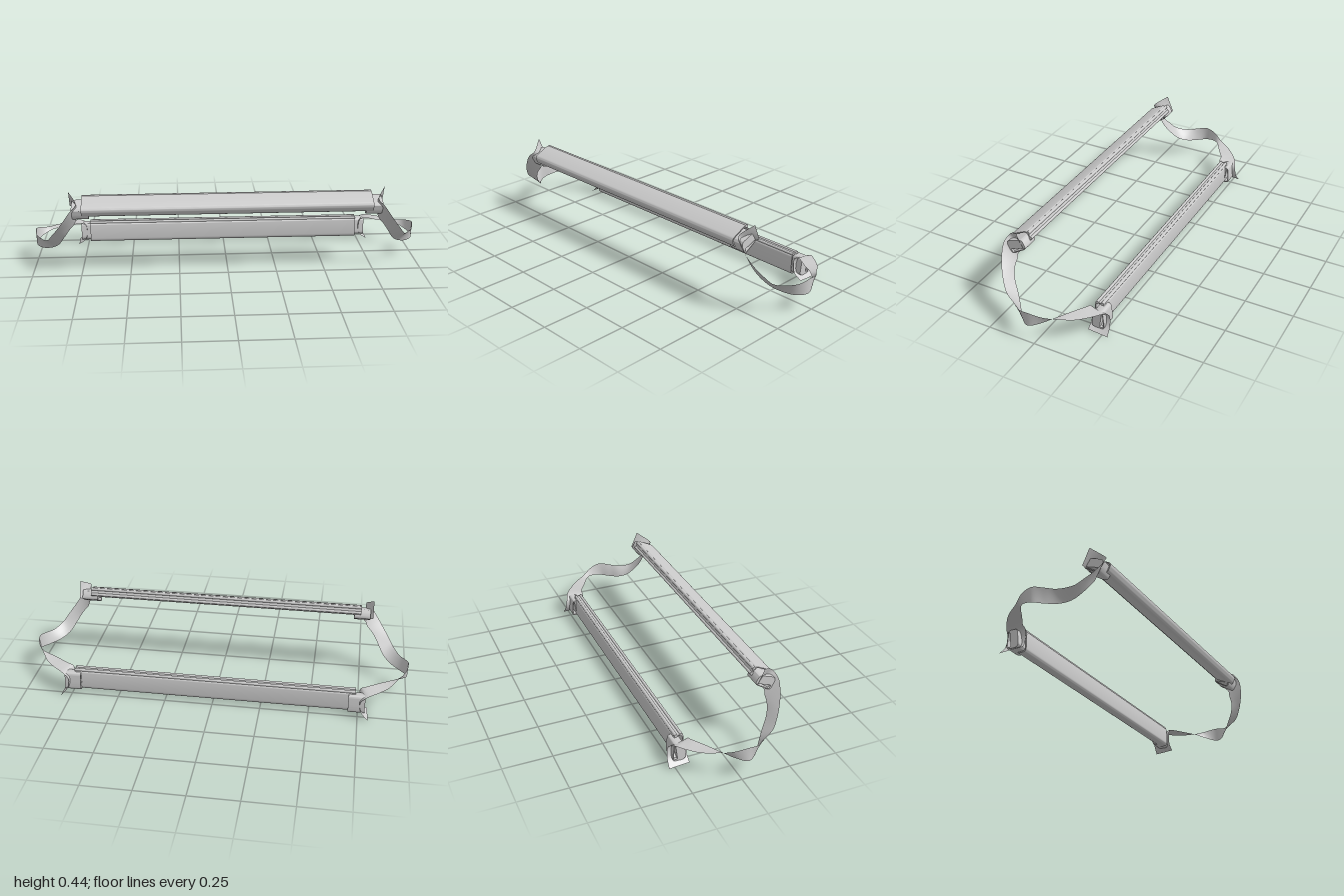
import * as THREE from 'three';
import { toCreasedNormals } from 'three/addons/utils/BufferGeometryUtils.js';

const material = new THREE.MeshStandardMaterial({ color: 0xcccccc, side: THREE.DoubleSide });

function mesh(name, geometry) {
  const m = new THREE.Mesh(geometry, material);
  m.name = name;
  return m;
}

// Polygon with rounded corners; traces into a Shape or a Path
function rounded(path, points, radius) {
  const p = points.map(([x, y]) => new THREE.Vector2(x, y));
  const n = p.length;
  p.forEach((c, i) => {
    const toward = (q) => {
      const d = q.clone().sub(c);
      return c.clone().add(d.setLength(Math.min(radius, d.length() * 0.48)));
    };
    const a = toward(p[(i + n - 1) % n]);
    const b = toward(p[(i + 1) % n]);
    if (i === 0) path.moveTo(a.x, a.y);
    else path.lineTo(a.x, a.y);
    path.quadraticCurveTo(c.x, c.y, b.x, b.y);
  });
  path.closePath();
  return path;
}

// Hollow section drawn as [-z, y], extruded along x from x0 to x1
function hollow(outer, r, inner, ri, x0, x1) {
  const shape = rounded(new THREE.Shape(), outer, r);
  shape.holes.push(rounded(new THREE.Path(), inner, ri));
  const g = new THREE.ExtrudeGeometry(shape, { depth: x1 - x0, bevelEnabled: false, curveSegments: 6 });
  g.translate(0, 0, x0);
  g.rotateY(Math.PI / 2);
  return toCreasedNormals(g, 0.7);
}

// Long hollow bar with a rolled seam on top and a loop at each end
function createBar(name) {
  const bar = new THREE.Group();
  bar.name = name;
  bar.add(mesh('barShell', hollow(
    [[-0.028, -0.06], [0.028, -0.06], [0.026, 0.052], [-0.026, 0.052]], 0.022,
    [[-0.023, -0.054], [0.023, -0.054], [0.021, 0.046], [-0.021, 0.046]], 0.018,
    -0.735, 0.735)));
  // Seam lips
  for (const z of [-0.014, 0.014]) {
    const lip = mesh('seamLip', new THREE.CylinderGeometry(0.008, 0.008, 1.47, 10));
    lip.rotation.z = Math.PI / 2;
    lip.position.set(0, 0.05, z);
    bar.add(lip);
  }
  // End loops that hold the straps
  const loopGeometry = hollow(
    [[-0.006, 0.042], [-0.018, -0.042], [-0.004, -0.055], [0.05, -0.053], [0.05, -0.02], [0.043, 0.042]], 0.014,
    [[0.037, 0.036], [0.041, 0.036], [0.046, -0.045], [0.026, -0.045]], 0.004,
    0.7, 0.785);
  for (const side of [1, -1]) {
    const loop = mesh('endLoop', loopGeometry);
    loop.scale.x = side;
    bar.add(loop);
  }
  return bar;
}

// Matching points of the strap's outer and inner edge, from front flap to back flap
const strapEdges = [
  [[0.80, 0.44, 0.20], [0.80, 0.355, 0.163]],
  [[0.76, 0.392, 0.265], [0.755, 0.33, 0.19]],
  [[0.79, 0.36, 0.281], [0.765, 0.30, 0.22]],
  [[0.825, 0.31, 0.275], [0.775, 0.275, 0.22]],
  [[0.86, 0.26, 0.255], [0.80, 0.245, 0.22]],
  [[0.89, 0.22, 0.23], [0.83, 0.20, 0.205]],
  [[0.92, 0.18, 0.195], [0.87, 0.14, 0.16]],
  [[0.955, 0.163, 0.13], [0.915, 0.11, 0.12]],
  [[0.985, 0.166, 0.085], [0.965, 0.097, 0.08]],
  [[1.0, 0.178, 0.025], [0.998, 0.10, 0.03]],
  [[0.985, 0.165, -0.04], [0.975, 0.12, -0.03]],
  [[0.95, 0.148, -0.09], [0.925, 0.136, -0.08]],
  [[0.90, 0.135, -0.165], [0.85, 0.136, -0.125]],
  [[0.84, 0.13, -0.22], [0.785, 0.134, -0.165]],
  [[0.795, 0.125, -0.252], [0.76, 0.125, -0.168]],
  [[0.76, 0.10, -0.268], [0.752, 0.09, -0.17]],
  [[0.765, 0.05, -0.275], [0.76, 0.04, -0.172]],
  [[0.803, 0.004, -0.28], [0.80, 0.01, -0.174]],
];

// Thin twisted ribbon spanned between the two edge curves
function strapGeometry(rows = 90, columns = 4) {
  const [outer, inner] = [0, 1].map((k) =>
    new THREE.CatmullRomCurve3(strapEdges.map((pair) => new THREE.Vector3(...pair[k]))));
  const positions = [];
  const index = [];
  for (let i = 0; i <= rows; i++) {
    const a = outer.getPoint(i / rows);
    const b = inner.getPoint(i / rows);
    for (let j = 0; j <= columns; j++) {
      positions.push(...a.clone().lerp(b, j / columns).toArray());
      if (i < rows && j < columns) {
        const v = i * (columns + 1) + j;
        const w = v + columns + 1;
        index.push(v, v + 1, w, v + 1, w + 1, w);
      }
    }
  }
  const g = new THREE.BufferGeometry();
  g.setAttribute('position', new THREE.Float32BufferAttribute(positions, 3));
  g.setIndex(index);
  g.computeVertexNormals();
  return g;
}

export function createModel() {
  const model = new THREE.Group();
  model.name = 'strappedBars';

  const back = createBar('backBar');
  back.position.set(0, 0.08, -0.203);
  model.add(back);

  // Front bar sits higher and is tipped backward
  const front = createBar('frontBar');
  front.position.set(0, 0.372, 0.217);
  front.rotation.x = -1.1;
  model.add(front);

  // Side straps
  const ribbon = strapGeometry();
  for (const side of [1, -1]) {
    const strap = mesh(side > 0 ? 'leftStrap' : 'rightStrap', ribbon);
    strap.scale.x = side;
    model.add(strap);
  }
  return model;
}
